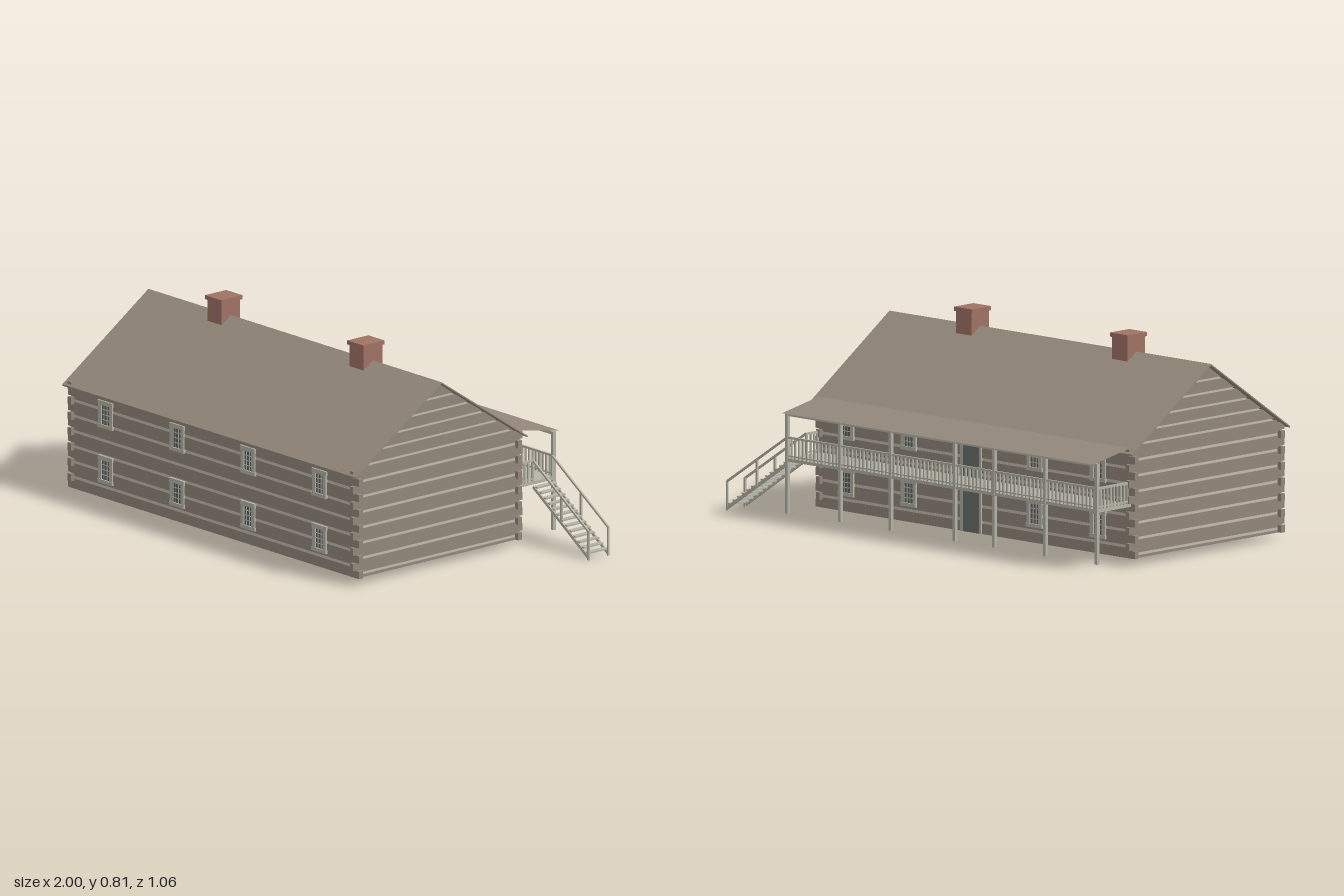
import * as THREE from 'three';

const mat = (name, color, side = THREE.FrontSide) => {
  const m = new THREE.MeshStandardMaterial({ color, side });
  m.name = name;
  return m;
};

export function createModel() {
  const M = {
    log: mat('log timber', 0x91867a),
    chink: mat('pale chinking', 0xc2baac),
    roof: mat('roof shingle', 0x94887b, THREE.DoubleSide),
    brick: mat('chimney brick', 0x9f7264),
    trim: mat('weathered trim', 0xb4b3a6),
    glass: mat('window glass', 0x5a605f),
    door: mat('door panel', 0x6b716b),
  };
  const model = new THREE.Group();
  model.name = 'logHouse';
  const group = (name, parent = model) => {
    const g = new THREE.Group();
    g.name = name;
    parent.add(g);
    return g;
  };

  // Box given by its limits on each axis
  const box = (parent, name, m, x0, x1, y0, y1, z0, z1) => {
    const mesh = new THREE.Mesh(new THREE.BoxGeometry(x1 - x0, y1 - y0, z1 - z0), m);
    mesh.position.set((x0 + x1) / 2, (y0 + y1) / 2, (z0 + z1) / 2);
    mesh.name = name;
    parent.add(mesh);
    return mesh;
  };
  // Sloping bar between two points in a plane of constant z
  const bar = (parent, name, m, x0, y0, x1, y1, z, t, d) => {
    const mesh = new THREE.Mesh(new THREE.BoxGeometry(Math.hypot(x1 - x0, y1 - y0), t, d), m);
    mesh.position.set((x0 + x1) / 2, (y0 + y1) / 2, z);
    mesh.rotation.z = Math.atan2(y1 - y0, x1 - x0);
    mesh.name = name;
    parent.add(mesh);
  };
  // Cross-section in (z, y), extruded along x from x0 to x1
  const prism = (parent, name, m, pts, x0, x1) => {
    const shape = new THREE.Shape(pts.map(p => new THREE.Vector2(...p)));
    const mesh = new THREE.Mesh(
      new THREE.ExtrudeGeometry(shape, { depth: x1 - x0, bevelEnabled: false }), m);
    mesh.rotation.y = -Math.PI / 2;
    mesh.position.x = x1;
    mesh.name = name;
    parent.add(mesh);
  };

  // House body: centre, half sizes, log spacing
  const CX = -0.15, CZ = 0.09, HX = 0.828, HZ = 0.413, T = 0.02, OUT = 0.016;
  const BASE = 0.03, STEP = 0.061, LOG = 0.05, EAVE = 0.44;
  const halfAt = y => Math.max(0.001, Math.min(HZ, (0.727 - y) / 0.678));
  const slice = (y0, y1, inset = 0) => {
    const a = halfAt(y0) - inset, b = Math.max(0.0005, halfAt(y1) - inset);
    return [[CZ - a, y0], [CZ + a, y0], [CZ + b, y1], [CZ - b, y1]];
  };

  // Front and back walls
  for (const s of [1, -1]) {
    const wall = group(s > 0 ? 'frontWall' : 'backWall');
    const slab = (name, m, x0, x1, y0, y1, near, far) => {
      const a = CZ + s * (HZ - near), b = CZ + s * (HZ - far);
      box(wall, name, m, x0, x1, y0, y1, Math.min(a, b), Math.max(a, b));
    };
    slab('chinking', M.chink, CX - HX + 0.004, CX + HX - 0.004, BASE, EAVE, 0.003, 0.01);
    slab('innerLining', M.log, CX - HX + 0.004, CX + HX - 0.004, BASE, EAVE, 0.01, 0.021);
    for (let k = 0; k < 7; k++) {
      const c = 0.045 + STEP * k;
      slab('wallLog', M.log, CX - HX, CX + HX, Math.max(BASE, c - LOG / 2), c + LOG / 2, 0, T);
      slab('logEnds', M.log, CX - HX - OUT, CX + HX + OUT, c - 0.0145, c + 0.0145, 0, T);
    }
  }

  // Side walls and gables
  for (const s of [1, -1]) {
    const wall = group(s > 0 ? 'leftWall' : 'rightWall');
    const span = (near, far) => {
      const a = CX + s * (HX - near), b = CX + s * (HX - far);
      return [Math.min(a, b), Math.max(a, b)];
    };
    const outline = [[CZ - HZ + 0.003, BASE], [CZ + HZ - 0.003, BASE], [CZ + HZ - 0.003, EAVE],
      [CZ, 0.725], [CZ - HZ + 0.003, EAVE]];
    prism(wall, 'chinking', M.chink, outline, ...span(0.003, 0.01));
    prism(wall, 'innerLining', M.log, outline, ...span(0.01, 0.021));
    prism(wall, 'sillLog', M.log, slice(BASE, 0.04), ...span(0, T));
    for (let k = 0; k < 7; k++) {
      const c = 0.0755 + STEP * k;
      prism(wall, 'wallLog', M.log, slice(c - LOG / 2, c + LOG / 2), ...span(0, T));
      const [x0, x1] = span(0, T);
      box(wall, 'logEnds', M.log, x0, x1, c - 0.0145, c + 0.0145, CZ - HZ - OUT, CZ + HZ + OUT);
    }
    for (let y = 0.476; y < 0.72; y += 0.05)
      prism(wall, 'gableLog', M.log, slice(y, Math.min(y + 0.041, 0.726)), ...span(0, T));
  }

  // Main roof and the flatter porch roof
  const RT = 0.006;
  prism(model, 'mainRoof', M.roof, [[CZ + 0.437, EAVE - RT], [CZ + 0.437, EAVE], [CZ, 0.736],
    [CZ - 0.437, EAVE], [CZ - 0.437, EAVE - RT], [CZ, 0.736 - RT]], -1, 0.7);
  const pz0 = -0.325, py0 = 0.459, pz1 = -0.53, py1 = 0.42;
  const porchRoof = new THREE.Mesh(
    new THREE.PlaneGeometry(1.645, Math.hypot(pz1 - pz0, py1 - py0)), M.roof);
  porchRoof.rotation.x = -Math.PI / 2 - Math.atan2(py0 - py1, pz0 - pz1);
  porchRoof.rotation.x = -Math.PI / 2 + Math.atan2(py0 - py1, pz0 - pz1) * -1;
  porchRoof.position.set(-0.148, (py0 + py1) / 2, (pz0 + pz1) / 2);
  porchRoof.name = 'porchRoof';
  model.add(porchRoof);

  // Chimneys run down to the ground inside
  for (const x of [-0.564, 0.26]) {
    const chimney = group('chimney');
    box(chimney, 'stack', M.brick, x - 0.041, x + 0.041, BASE, 0.79, 0.042, 0.137);
    box(chimney, 'cap', M.brick, x - 0.047, x + 0.047, 0.79, 0.806, 0.036, 0.143);
  }

  // Windows and doors, built facing +z
  const windowAt = (x, y, z, turn) => {
    const w = group('window');
    for (const s of [-1, 1])
      box(w, 'jamb', M.trim, s * 0.031 - 0.009, s * 0.031 + 0.009, -0.052, 0.052, -0.006, 0.006);
    box(w, 'header', M.trim, -0.042, 0.042, 0.037, 0.054, -0.006, 0.007);
    box(w, 'sill', M.trim, -0.042, 0.042, -0.054, -0.04, -0.006, 0.008);
    box(w, 'pane', M.glass, -0.024, 0.024, -0.042, 0.04, -0.004, 0.002);
    for (const mx of [-0.008, 0.008])
      box(w, 'mullion', M.trim, mx - 0.0015, mx + 0.0015, -0.041, 0.038, 0, 0.004);
    for (const my of [-0.021, -0.001, 0.019])
      box(w, 'glazingBar', M.trim, -0.023, 0.023, my - 0.0015, my + 0.0015, 0, 0.004);
    w.position.set(x, y, z);
    w.rotation.y = turn;
  };
  const frontZ = CZ + HZ, backZ = CZ - HZ;
  for (const y of [0.144, 0.363]) {
    for (const x of [-0.773, -0.358, 0.053, 0.467]) windowAt(x, y, frontZ, 0);
    for (const x of [-0.8, -0.465, 0.2, 0.53]) windowAt(x, y, backZ, Math.PI);
  }
  for (const [y0, y1] of [[BASE, 0.198], [0.245, 0.415]]) {
    const d = group('backDoor');
    box(d, 'doorPanel', M.door, -0.175, -0.085, y0, y1, backZ - 0.004, backZ + 0.004);
    for (const x of [-0.18, -0.08])
      box(d, 'doorJamb', M.trim, x - 0.005, x + 0.005, y0, y1 + 0.008, backZ - 0.007, backZ + 0.004);
    box(d, 'doorHeader', M.trim, -0.185, -0.075, y1, y1 + 0.01, backZ - 0.007, backZ + 0.004);
  }

  // Porch: deck, posts, railings
  const porch = group('porch');
  const PX0 = -0.972, PX1 = 0.675, PZ = -0.504;
  box(porch, 'deck', M.trim, PX0, PX1, 0.231, 0.243, PZ - 0.004, backZ);
  box(porch, 'headerBeam', M.trim, PX0, PX1, 0.408, 0.42, PZ - 0.005, PZ + 0.005);
  for (const x of [-0.966, -0.693, -0.425, -0.216, 0.123, 0.39, 0.669])
    box(porch, 'post', M.trim, x - 0.0065, x + 0.0065, BASE, 0.421, PZ - 0.007, PZ + 0.007);
  for (const [y0, y1] of [[0.32, 0.328], [0.25, 0.255]]) {
    box(porch, 'backRail', M.trim, PX0, PX1, y0, y1, PZ - 0.004, PZ + 0.004);
    box(porch, 'rightEndRail', M.trim, PX0, PX0 + 0.009, y0, y1, PZ, backZ);
    box(porch, 'leftEndRail', M.trim, PX1 - 0.009, PX1, y0, y1, -0.395, backZ);
  }
  const baluster = (x, z) =>
    box(porch, 'baluster', M.trim, x - 0.0035, x + 0.0035, 0.243, 0.322, z - 0.0035, z + 0.0035);
  for (let x = PX0 + 0.02; x < PX1 - 0.01; x += 0.02) baluster(x, PZ);
  for (let z = backZ - 0.015; z > PZ + 0.008; z -= 0.0185) {
    baluster(PX0 + 0.0045, z);
    if (z > -0.39) baluster(PX1 - 0.0045, z);
  }

  // Stairs at the left end of the porch
  const stairs = group('stairs');
  const SX0 = 0.675, SX1 = 0.995, N = 13;
  for (const z of [-0.397, -0.496]) {
    bar(stairs, 'stringer', M.trim, SX0, 0.222, SX1, 0.01, z, 0.012, 0.006);
    bar(stairs, 'handrail', M.trim, SX0, 0.324, SX1, 0.114, z, 0.008, 0.007);
    for (const [x, y0, y1] of [[0.671, 0.235, 0.328], [0.838, 0.112, 0.216], [0.996, 0, 0.115]])
      box(stairs, 'railPost', M.trim, x - 0.004, x + 0.004, y0, y1, z - 0.004, z + 0.004);
  }
  for (let i = 0; i < N; i++) {
    const x = SX0 + (i + 0.5) * (SX1 - SX0) / N;
    const y = 0.23 - (i + 0.5) * 0.212 / N;
    box(stairs, 'tread', M.trim, x - 0.011, x + 0.011, y - 0.003, y + 0.003, -0.496, -0.397);
  }
  return model;
}
